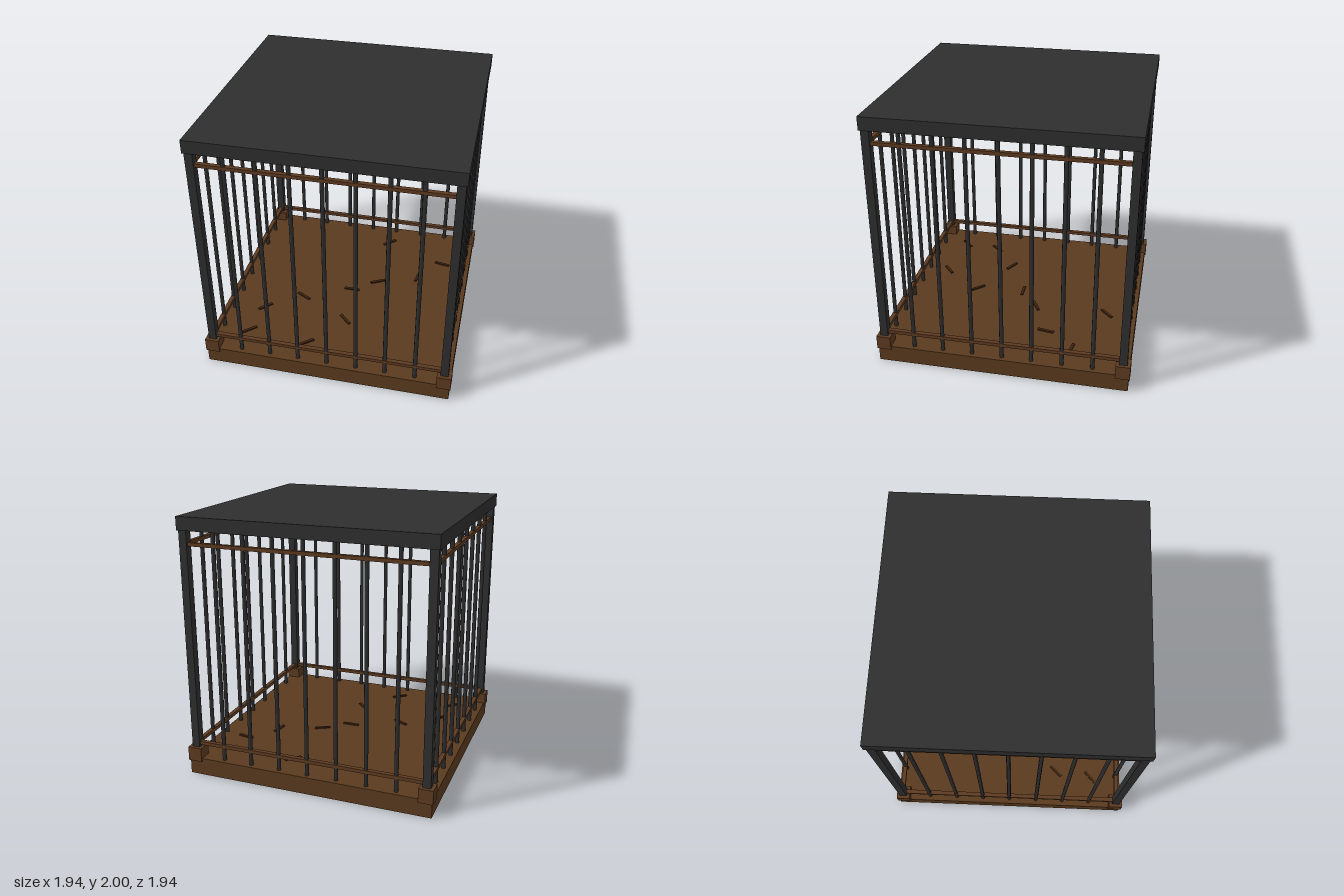
import * as THREE from 'three';

const mat = (name, color) => {
  const m = new THREE.MeshStandardMaterial({ color });
  m.name = name;
  return m;
};

export function createModel() {
  const cage = new THREE.Group();
  cage.name = 'cage';
  const iron = mat('dark iron', 0x2e2e2e);
  const wood = mat('brown wood', 0x5a3a1e);
  const trim = mat('trim wood', 0x5c3a21);
  const straw = mat('dark straw', 0x3d2412);

  const add = (parent, name, geometry, material, x, y, z) => {
    const mesh = new THREE.Mesh(geometry, material);
    mesh.name = name;
    mesh.position.set(x, y, z);
    parent.add(mesh);
    return mesh;
  };

  // Wooden floor slab and iron roof slab
  add(cage, 'floor', new THREE.BoxGeometry(1.92, 0.135, 1.92), wood, 0, 0.0675, 0);
  add(cage, 'roof', new THREE.BoxGeometry(1.91, 0.1, 1.91), iron, 0, 1.95, 0);

  // Corner posts with wooden blocks at the foot
  const edge = 0.915;
  const postGeo = new THREE.BoxGeometry(0.06, 1.77, 0.06);
  const blockGeo = new THREE.BoxGeometry(0.11, 0.11, 0.11);
  for (const sx of [-1, 1]) for (const sz of [-1, 1]) {
    add(cage, 'cornerPost', postGeo, iron, sx * edge, 1.015, sz * edge);
    add(cage, 'cornerBlock', blockGeo, trim, sx * edge, 0.165, sz * edge);
  }

  // Four barred walls, each with two rails
  const barGeo = new THREE.CylinderGeometry(0.016, 0.016, 1.78, 8);
  const railGeo = new THREE.BoxGeometry(1.78, 0.027, 0.033);
  for (let side = 0; side < 4; side++) {
    const wall = new THREE.Group();
    wall.name = 'barredWall';
    wall.rotation.y = side * Math.PI / 2;
    for (let i = -3; i <= 3; i++) {
      const bar = add(wall, 'bar', barGeo, iron, i * 0.229, 1.015, edge);
      bar.rotation.z = 0.002 * Math.sin(i * 2.3 + side * 1.7);
    }
    for (const y of [0.25, 1.8]) add(wall, 'rail', railGeo, trim, 0, y, edge);
    cage.add(wall);
  }

  // Loose straw on the floor: x, z, turn
  const strawGeo = new THREE.BoxGeometry(0.13, 0.012, 0.022);
  const pieces = [
    [0.2, -0.72, 0.76], [-0.66, 0.4, 0.8], [-0.38, 0.2, -0.5],
    [0, 0.02, 0], [0.53, -0.27, 1.4], [0.72, -0.5, -0.2],
    [-0.7, 0.7, 0.75], [0.2, -0.13, 0.5], [0.03, 0.41, -0.8], [-0.21, 0.74, 0.7],
  ];
  for (const [x, z, turn] of pieces) {
    add(cage, 'strawPiece', strawGeo, straw, x, 0.14, z).rotation.y = turn;
  }

  return cage;
}
